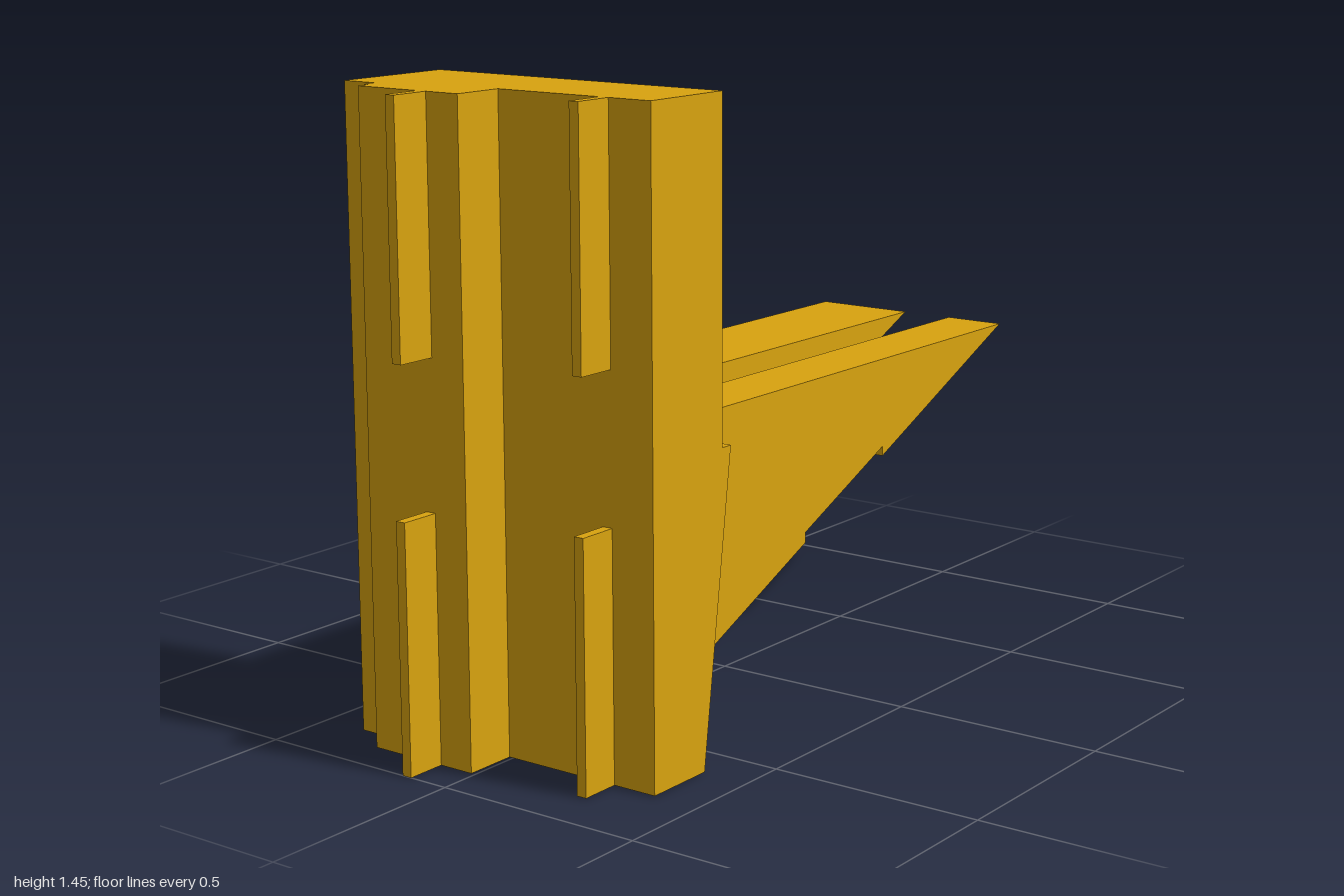
import * as THREE from 'three';

const HALF = 0.387; // half depth
const TOP = 1.45;   // column height
const DECK = 0.7;   // height of the blades' top face

export function createModel() {
  const model = new THREE.Group();
  const material = new THREE.MeshStandardMaterial({ color: 0xd9a30f, flatShading: true });

  const add = (name, geometry) => {
    const mesh = new THREE.Mesh(geometry, material);
    mesh.name = name;
    model.add(mesh);
    return mesh;
  };
  const shapeOf = (points) => new THREE.Shape(points.map(([x, y]) => new THREE.Vector2(x, y)));

  // Side profile (x, y) extruded from z0 to z1
  const addSlab = (name, points, z0, z1) => {
    const geometry = new THREE.ExtrudeGeometry(shapeOf(points), { depth: z1 - z0, bevelEnabled: false });
    add(name, geometry.translate(0, 0, z0));
  };

  // Column with a leaning lower front face
  addSlab('column', [
    [-0.78, 0], [-0.605, 0], [-0.51, DECK], [-0.54, DECK], [-0.54, TOP], [-0.78, TOP],
  ], -HALF, HALF);

  // Two wedge blades; the front one has a shallow notch underneath
  addSlab('rearBlade', [[-0.605, 0], [1, DECK], [-0.51, DECK]], -HALF, -0.13);
  addSlab('frontBlade', [
    [-0.605, 0], [0.105, 0.31], [0.105, 0.335], [0.44, 0.48], [0.44, 0.456], [1, DECK], [-0.51, DECK],
  ], 0.005, 0.16);

  // Web closing the lower end of the slot between the blades
  addSlab('slotFloor', [
    [-0.605, 0], [-0.066, 0.235], [-0.51, 0.235], [-0.51, DECK],
  ], -0.13, 0.005);

  // Stepped rail up the back of the column, from a plan outline (x, -z)
  const rail = new THREE.ExtrudeGeometry(shapeOf([
    [-0.78, 0.01], [-0.905, 0.01], [-0.905, 0.285], [-0.872, 0.285],
    [-0.872, 0.3], [-0.84, 0.3], [-0.84, HALF], [-0.78, HALF],
  ]), { depth: TOP, bevelEnabled: false });
  add('backRail', rail.rotateX(-Math.PI / 2));

  // Thin fins, a lower and an upper one on each line
  for (const [side, x0, x1, z] of [['rear', -1, -0.905, -0.108], ['front', -0.875, -0.78, 0.268]]) {
    for (const [level, y0, y1] of [['Lower', 0, 0.56], ['Upper', 0.895, TOP]]) {
      const fin = add(`${side}${level}Fin`, new THREE.BoxGeometry(x1 - x0, y1 - y0, 0.024));
      fin.position.set((x0 + x1) / 2, (y0 + y1) / 2, z);
    }
  }

  return model;
}
